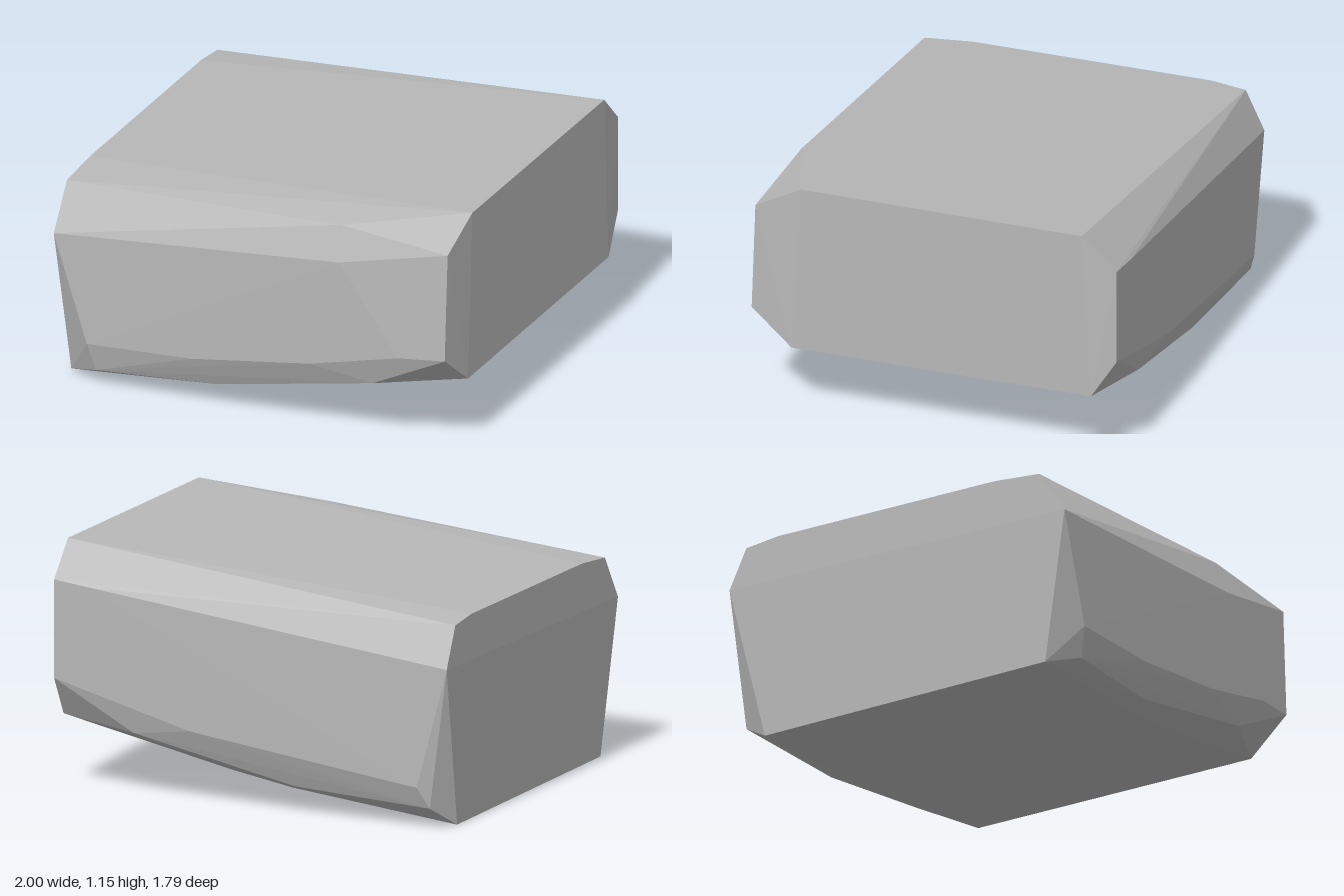
import * as THREE from 'three';
import { ConvexGeometry } from 'three/addons/geometries/ConvexGeometry.js';

export function createModel() {
  const group = new THREE.Group();
  group.name = 'stoneBlock';
  const stone = new THREE.MeshStandardMaterial({ color: 0xb8b8b8 });
  stone.name = 'stoneGrey';

  // Corners of the faceted block, as [x, y, z]
  const corners = [
    // low end, -x
    [-1, 0.975, 0.52], [-1, 0.955, 0.755], [-1, 0.745, 0.89],
    [-1, 0.975, -0.63], [-1, 0.955, -0.8], [-1, 0.765, -0.89],
    [-0.97, 0.02, 0.77], [-0.97, 0.005, -0.72],
    // high end, +x
    [1, 1.155, 0.635], [0.985, 1.03, 0.86], [0.98, 0.505, 0.88], [1, 0.34, 0.68],
    [1, 1.15, -0.725], [0.99, 0.99, -0.89], [0.99, 0.53, -0.89], [1, 0.34, -0.77],
    // front flank
    [0.43, 1.06, 0.835], [0.45, 0.9, 0.895], [-0.83, 0.225, 0.895],
    [0.75, 0.48, 0.895], [0.3, 0.36, 0.895], [-0.3, 0.26, 0.895],
    [-0.8, 0.085, 0.86], [-0.2, 0.125, 0.83], [0.6, 0.305, 0.85],
    // back flank
    [0.8, 0.97, -0.895], [-0.85, 0.2, -0.895], [0.3, 0.35, -0.895],
    [-0.9, 0.1, -0.86], [-0.2, 0.13, -0.83], [0.6, 0.305, -0.86],
    // bowed underside
    [-0.15, 0.1, 0.74], [-0.15, 0.1, -0.74], [0.15, 0.155, 0.72], [0.15, 0.155, -0.75],
  ].map((p) => new THREE.Vector3(...p));

  const block = new THREE.Mesh(new ConvexGeometry(corners), stone);
  block.name = 'block';
  group.add(block);
  return group;
}
